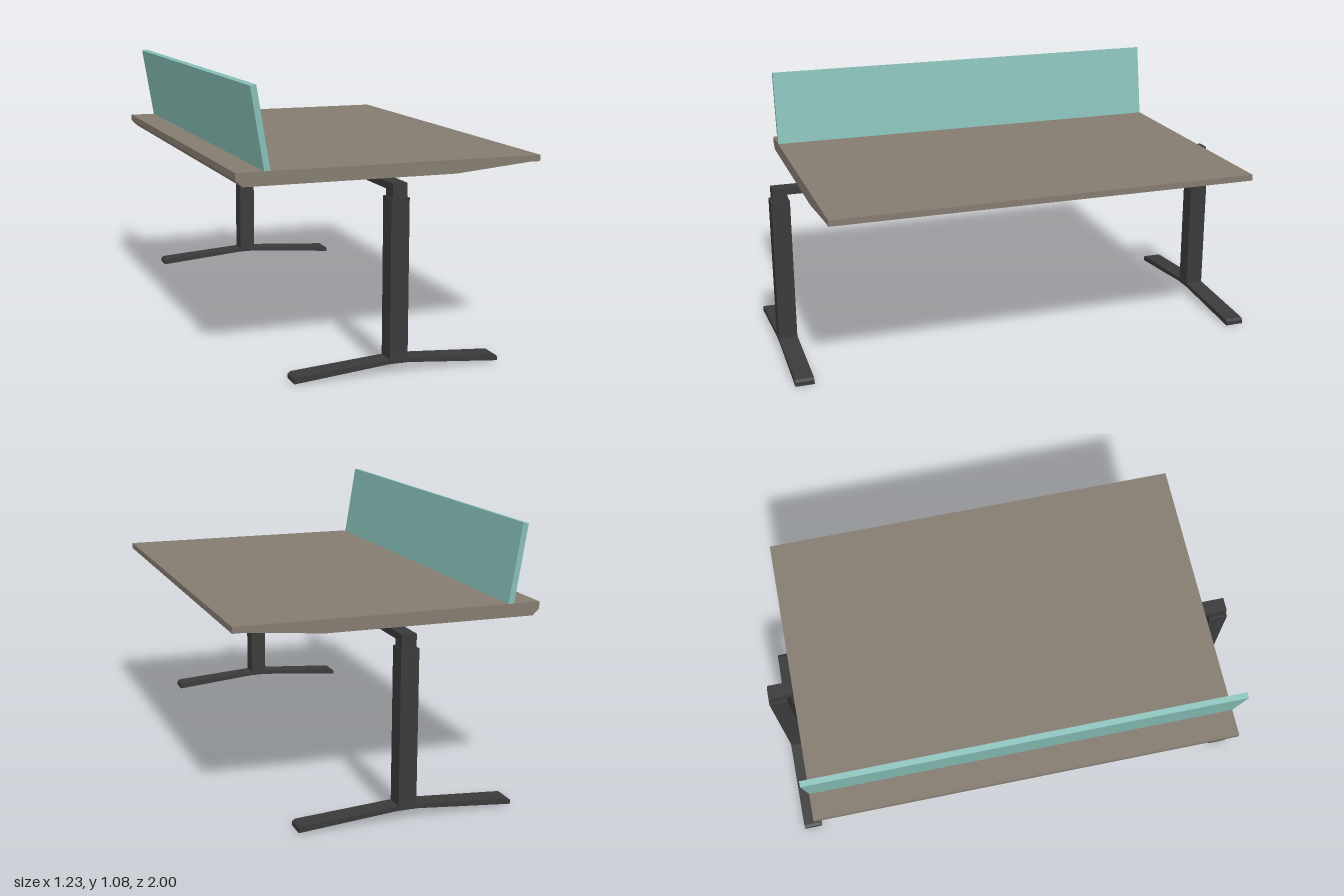
import * as THREE from 'three';

const paint = (color) => new THREE.MeshStandardMaterial({ color, flatShading: true });

// Extrudes an x-y outline along z, from z0 to z1
function slab(name, points, z0, z1, material) {
  const shape = new THREE.Shape(points.map(([x, y]) => new THREE.Vector2(x, y)));
  const geometry = new THREE.ExtrudeGeometry(shape, { depth: z1 - z0, bevelEnabled: false });
  geometry.translate(0, 0, z0);
  const mesh = new THREE.Mesh(geometry, material);
  mesh.name = name;
  return mesh;
}

// Box given by its limits on each axis
function block(name, [x0, x1], [y0, y1], [z0, z1], material) {
  const mesh = new THREE.Mesh(new THREE.BoxGeometry(x1 - x0, y1 - y0, z1 - z0), material);
  mesh.position.set((x0 + x1) / 2, (y0 + y1) / 2, (z0 + z1) / 2);
  mesh.name = name;
  return mesh;
}

export function createModel() {
  const model = new THREE.Group();
  model.name = 'desk';
  const wood = paint(0x857c70);
  const metal = paint(0x3a3a3a);
  const panel = paint(0x86bdb6);
  const legX = -0.025;

  // Desktop with chamfered back edge and tapered front underside
  model.add(slab('desktop', [
    [-0.615, 0.767], [-0.615, 0.74], [-0.588, 0.714],
    [0.257, 0.714], [0.57, 0.742], [0.614, 0.742], [0.614, 0.767],
  ], -0.882, 0.882, wood));

  // Leaning privacy screen
  model.add(slab('screen', [
    [-0.501, 0.738], [-0.478, 0.742], [-0.533, 1.079], [-0.556, 1.075],
  ], -0.881, 0.881, panel));

  // Beam under the desktop, joining both legs
  model.add(block('beam', [-0.053, 0.005], [0.685, 0.713], [-0.99, 0.99], metal));

  // Half outline of the arched foot, mirrored about the leg
  const half = [
    [0.042, 0.035], [0.431, 0.001], [0.431, 0.018], [0.42, 0.026], [0.042, 0.052],
  ];
  for (const side of [1, -1]) {
    const leg = new THREE.Group();
    leg.name = side > 0 ? 'frontLeg' : 'backLeg';
    const span = side > 0 ? 0.95 : 1;
    const outline = [
      ...half.map(([x, y]) => [legX + x * span, y]),
      ...half.map(([x, y]) => [legX - x * span, y]).reverse(),
    ];
    const range = (a, b) => (side > 0 ? [a, b] : [-b, -a]);
    leg.add(slab('foot', outline, ...range(0.922, 1), metal));
    leg.add(block('outerColumn', [-0.061, 0.011], [0.036, 0.659], range(0.922, 0.999), metal));
    leg.add(block('innerColumn', [-0.053, 0.005], [0.65, 0.713], range(0.93, 0.991), metal));
    model.add(leg);
  }
  return model;
}
